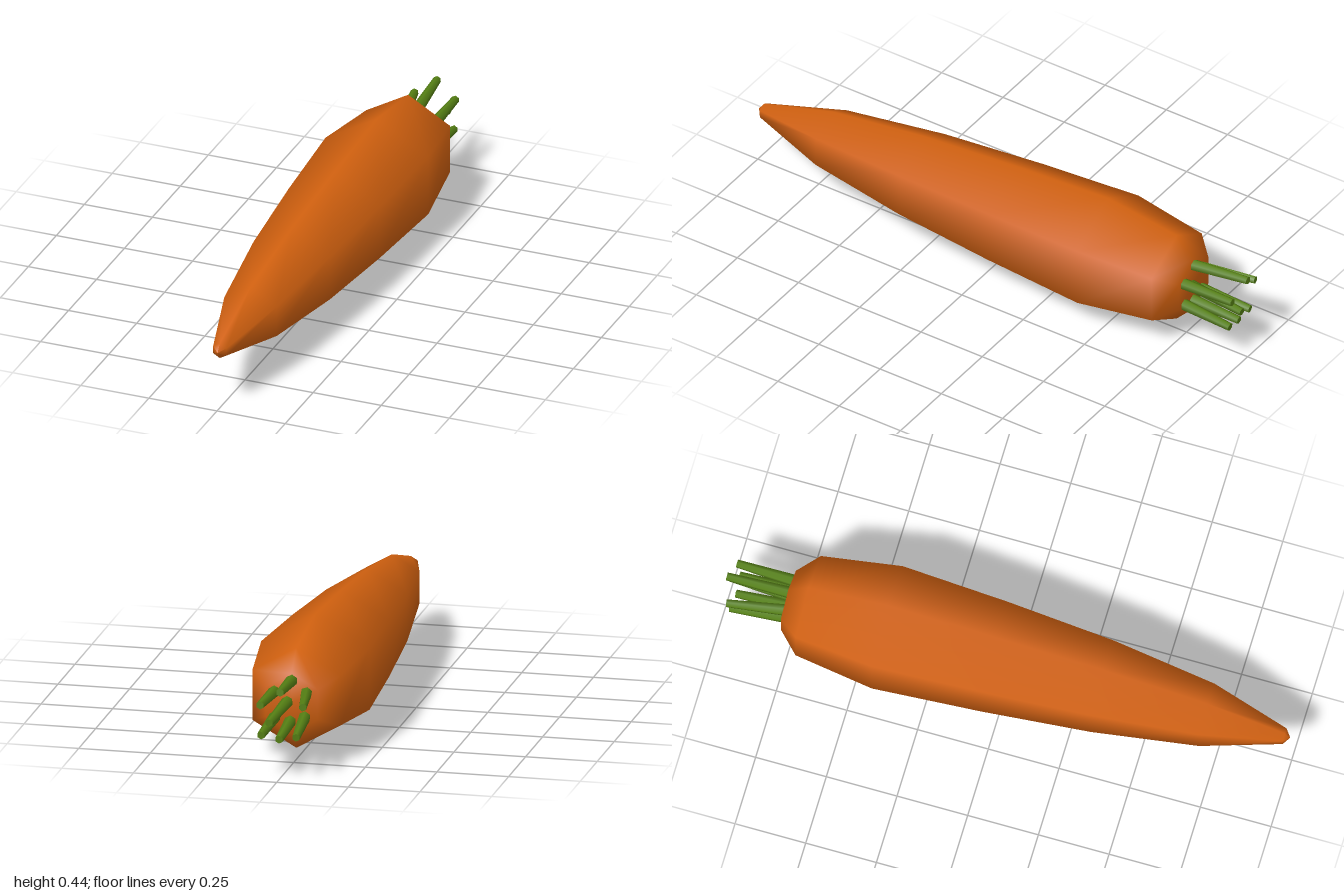
import * as THREE from 'three';

const CENTRE_Y = 0.22;

// Tapered stalk between two points
function makeStalk(from, to, material) {
  const a = new THREE.Vector3(...from), b = new THREE.Vector3(...to);
  const dir = b.clone().sub(a);
  const stalk = new THREE.Mesh(new THREE.CylinderGeometry(0.014, 0.021, dir.length(), 6), material);
  stalk.position.copy(a).add(b).multiplyScalar(0.5);
  stalk.quaternion.setFromUnitVectors(new THREE.Vector3(0, 1, 0), dir.normalize());
  return stalk;
}

export function createModel() {
  const model = new THREE.Group();
  const orange = new THREE.MeshStandardMaterial({ color: 0xd0600f });
  orange.name = 'carrotOrange';
  const green = new THREE.MeshStandardMaterial({ color: 0x558014 });
  green.name = 'stalkGreen';

  // Six-sided root: radius and z, from crown to tip
  const profile = [
    [0, -0.78], [0.105, -0.78], [0.177, -0.71], [0.218, -0.43], [0.195, -0.05],
    [0.163, 0.33], [0.111, 0.7], [0.028, 0.975], [0, 0.995],
  ].map(([r, z]) => new THREE.Vector2(r, z));
  const root = new THREE.Mesh(new THREE.LatheGeometry(profile, 6), orange);
  root.name = 'root';
  root.rotation.x = Math.PI / 2;
  root.position.y = CENTRE_Y;
  model.add(root);

  // Cut stalks on the crown: base x, base y, tip x, tip y, tip z
  const stalks = new THREE.Group();
  stalks.name = 'stalks';
  const layout = [
    [0, 0.3, -0.01, 0.318, -0.995],
    [0.06, 0.258, 0.063, 0.264, -0.98],
    [-0.05, 0.26, -0.085, 0.265, -0.975],
    [0.015, 0.225, 0.028, 0.208, -0.995],
    [0.058, 0.17, 0.062, 0.155, -0.97],
    [-0.045, 0.175, -0.06, 0.155, -0.97],
    [0.005, 0.157, 0, 0.143, -0.965],
  ];
  layout.forEach(([bx, by, tx, ty, tz], i) => {
    const stalk = makeStalk([bx, by, -0.77], [tx, ty, tz], green);
    stalk.name = `stalk${i + 1}`;
    stalks.add(stalk);
  });
  model.add(stalks);

  return model;
}
